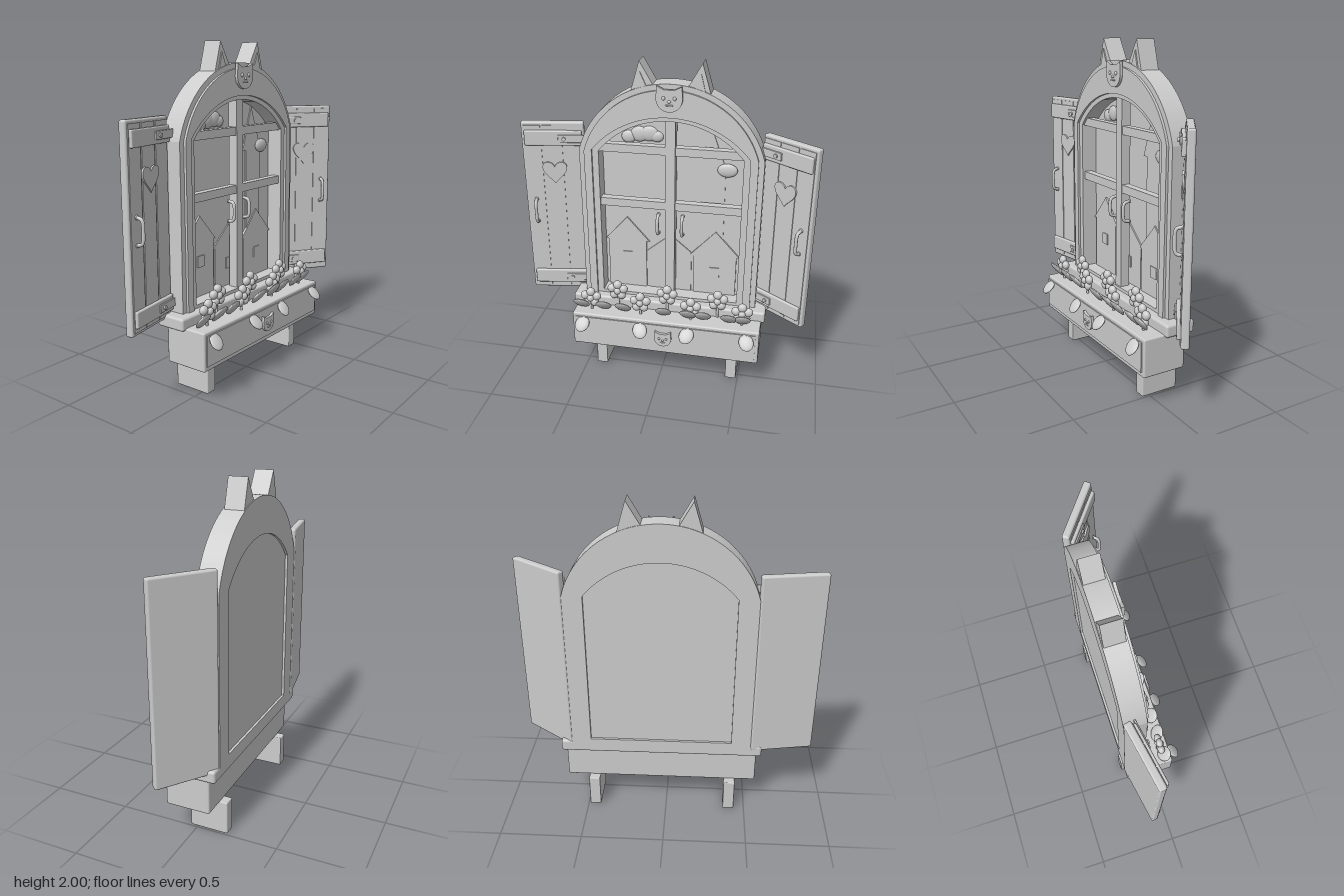
import * as THREE from 'three';
import { RoundedBoxGeometry } from 'three/addons/geometries/RoundedBoxGeometry.js';

const CX = 0.03; // centre line of the window

export function createModel() {
  const root = new THREE.Group();
  root.name = 'shutteredWindow';
  const grey = new THREE.MeshStandardMaterial({ color: 0xcccccc });
  grey.name = 'plainGrey';

  const add = (parent, name, geo, x = 0, y = 0, z = 0) => {
    const m = new THREE.Mesh(geo, grey);
    m.name = name;
    m.position.set(x, y, z);
    parent.add(m);
    return m;
  };
  const group = (parent, name, x = 0, y = 0, z = 0) => {
    const g = new THREE.Group();
    g.name = name;
    g.position.set(x, y, z);
    parent.add(g);
    return g;
  };
  // Box given by its limits, with optional rounded edges
  const box = (parent, name, [x0, x1], [y0, y1], [z0, z1], r = 0) => {
    const s = [Math.abs(x1 - x0), y1 - y0, z1 - z0];
    const geo = r ? new RoundedBoxGeometry(...s, 2, r) : new THREE.BoxGeometry(...s);
    return add(parent, name, geo, (x0 + x1) / 2, (y0 + y1) / 2, (z0 + z1) / 2);
  };
  const plate = (parent, name, shape, z0, z1, x = 0, y = 0) =>
    add(parent, name, new THREE.ExtrudeGeometry(shape, { depth: z1 - z0, bevelEnabled: false, curveSegments: 28 }), x, y, z0);
  const poly = (pts) => new THREE.Shape(pts.map(([x, y]) => new THREE.Vector2(x, y)));
  const blob = (parent, name, rx, ry, rz, x, y, z) => {
    const m = add(parent, name, new THREE.SphereGeometry(1, 20, 14), x, y, z);
    m.scale.set(rx, ry, rz);
    return m;
  };
  // Upright outline closed by a segmental arch
  const arch = (half, bottom, spring, top, Type = THREE.Shape) => {
    const rise = top - spring;
    const R = (half * half + rise * rise) / (2 * rise);
    const cy = top - R;
    const a = Math.atan2(spring - cy, half);
    const s = new Type();
    s.moveTo(-half, bottom);
    s.lineTo(half, bottom);
    s.lineTo(half, spring);
    s.absarc(0, cy, R, a, Math.PI - a, false);
    s.lineTo(-half, bottom);
    return s;
  };
  const handle = (parent, name, x, y, z, h, d) => {
    const curve = new THREE.CatmullRomCurve3(
      [[-h, 0], [-h * 0.85, d * 0.8], [0, d], [h * 0.85, d * 0.8], [h, 0]].map(([b, c]) => new THREE.Vector3(0, b, c)));
    const g = group(parent, name, x, y, z);
    add(g, 'grip', new THREE.TubeGeometry(curve, 24, 0.01, 10));
    for (const s of [-1, 1]) blob(g, 'mount', 0.013, 0.013, 0.008, 0, s * h, 0);
  };

  // Arched frame with a raised moulding
  const frame = arch(0.548, 0.46, 1.46, 1.88);
  frame.holes.push(arch(0.43, 0.51, 1.46, 1.665, THREE.Path));
  plate(root, 'archFrame', frame, -0.19, -0.06, CX);
  const trim = arch(0.515, 0.46, 1.46, 1.848);
  trim.holes.push(arch(0.468, 0.47, 1.47, 1.69, THREE.Path));
  plate(root, 'frameMoulding', trim, -0.061, -0.045, CX);
  plate(root, 'backPanel', arch(0.435, 0.5, 1.462, 1.67), -0.175, -0.16, CX);

  // Ears on top of the frame
  for (const s of [-1, 1]) {
    plate(root, 'ear', poly([[-0.068, 1.82], [0.068, 1.82], [0.0, 2.0]].map(([x, y]) =>
      y > 1.9 ? [s * 0.015, y] : [x, y + (s * x < 0 ? 0.04 : 0)])), -0.185, -0.07, CX + s * 0.163);
    plate(root, 'innerEar', poly([[-0.035, 1.84], [0.035, 1.84], [s * 0.01, 1.94]]), -0.07, -0.063, CX + s * 0.163);
  }

  // Window bars and handles
  box(root, 'mullion', [0, 0.06], [0.49, 1.67], [-0.13, -0.07]);
  for (const y of [1.105, 1.455])
    box(root, 'crossBar', [CX - 0.43, CX + 0.43], [y, y + 0.05], [-0.125, -0.075]);
  for (const s of [-1, 1]) handle(root, 'windowHandle', CX + s * 0.075, 1.0, -0.1, 0.062, 0.045);

  // Town scene in low relief
  const house = (name, x, half, eaves, peak, z) => {
    plate(root, name, poly([[-half + 0.02, 0.5], [half - 0.02, 0.5], [half - 0.02, eaves],
      [half, eaves], [0, peak], [-half, eaves], [-half + 0.02, eaves]]), -0.161, z, x);
    box(root, name + 'Window', [x - 0.03, x + 0.03], [eaves - 0.15, eaves - 0.08], [z, z + 0.006]);
  };
  house('leftHouse', -0.257, 0.143, 0.84, 1.0, -0.148);
  house('middleHouse', 0.02, 0.155, 0.77, 0.9, -0.152);
  house('rightHouse', 0.305, 0.155, 0.78, 0.95, -0.146);
  plate(root, 'tower', poly([[-0.055, 0.8], [0.09, 0.8], [0.09, 1.34], [0.1, 1.34],
    [0, 1.61], [-0.09, 1.34], [-0.055, 1.34]]), -0.161, -0.153, 0.26);
  [[-0.235, 1.53, 0.045], [-0.17, 1.55, 0.055], [-0.11, 1.555, 0.055], [-0.065, 1.54, 0.04]].forEach(([x, y, r]) =>
    blob(root, 'cloudPuff', r, r * 0.85, 0.018, x, y, -0.155));
  blob(root, 'smallCloud', 0.06, 0.042, 0.018, 0.36, 1.36, -0.15);

  // Shutters: local x runs outward from the hinge
  const shutter = (name, s, px, pz, angle) => {
    const g = group(root, name, px, 0, pz);
    g.rotation.y = -s * angle;
    const part = (n, u0, u1, y, z, r) => box(g, n, [s * u0, s * u1], y, z, r);
    part('board', 0, 0.38, [0.46, 1.6], [0, 0.045], 0.012);
    for (const [a, b] of [[0.015, 0.125], [0.135, 0.252], [0.262, 0.365]])
      part('plank', a, b, [0.48, 1.58], [0.044, 0.05]);
    for (const y of [0.553, 1.505]) {
      part('crossBatten', 0.012, 0.36, [y - 0.047, y + 0.047], [0.045, 0.068], 0.008);
      part('hingePlate', -0.01, 0.155, [y - 0.024, y + 0.024], [0.066, 0.077], 0.004);
      const bolt = add(g, 'bolt', new THREE.CylinderGeometry(0.012, 0.012, 0.012, 16), s * 0.118, y, 0.08);
      bolt.rotation.x = Math.PI / 2;
    }
    const heart = new THREE.Shape();
    heart.moveTo(0, -0.095);
    heart.bezierCurveTo(0.02, -0.06, 0.078, -0.03, 0.075, 0.015);
    heart.bezierCurveTo(0.07, 0.055, 0.015, 0.055, 0, 0.015);
    heart.bezierCurveTo(-0.015, 0.055, -0.07, 0.055, -0.075, 0.015);
    heart.bezierCurveTo(-0.078, -0.03, -0.02, -0.06, 0, -0.095);
    plate(g, 'heart', heart, 0.049, 0.06, s * 0.188, 1.305);
    handle(g, 'shutterHandle', s * 0.318, 1.025, 0.05, 0.075, 0.04);
  };
  shutter('rightShutter', -1, -0.52, -0.195, 0.175);
  shutter('leftShutter', 1, 0.585, -0.192, 0.628);

  // Sill, flower box and legs
  box(root, 'sill', [-0.587, 0.647], [0.415, 0.49], [-0.19, -0.003], 0.015);
  box(root, 'flowerBox', [-0.56, 0.625], [0.2, 0.43], [-0.143, 0.128], 0.01);
  box(root, 'boxFrontPanel', [-0.54, 0.603], [0.23, 0.408], [0.127, 0.135]);
  for (const x of [-0.4, 0.455]) box(root, 'leg', [x - 0.035, x + 0.035], [0, 0.205], [-0.19, 0.045], 0.006);

  // Cat face badges
  const catFace = (x, y, z, r) => {
    const g = group(root, 'catFace', x, y, z);
    const s = new THREE.Shape();
    s.moveTo(-0.95 * r, 1.0 * r);
    s.lineTo(-0.4 * r, 0.72 * r);
    s.lineTo(0.4 * r, 0.72 * r);
    s.lineTo(0.95 * r, 1.0 * r);
    s.lineTo(1.0 * r, 0.05 * r);
    s.absarc(0, 0.05 * r, r, 0, -Math.PI, true);
    plate(g, 'head', s, 0, 0.018);
    for (const e of [-1, 1]) blob(g, 'eye', 0.13 * r, 0.15 * r, 0.008, e * 0.42 * r, 0.1 * r, 0.018);
    blob(g, 'nose', 0.14 * r, 0.11 * r, 0.01, 0, -0.15 * r, 0.018);
    for (const e of [-1, 1]) blob(g, 'mouth', 0.16 * r, 0.06 * r, 0.006, e * 0.15 * r, -0.42 * r, 0.018);
  };
  catFace(CX, 1.8, -0.046, 0.076);
  catFace(CX, 0.317, 0.134, 0.053);

  // Flowers in two staggered rows
  for (let i = 0; i < 7; i++) {
    const back = i % 2;
    const f = group(root, 'flower', -0.45 + i * 0.16, back ? 0.555 : 0.52, back ? 0.008 : 0.068);
    for (let k = 0; k < 5; k++) {
      const a = Math.PI / 2 + (k * Math.PI * 2) / 5;
      blob(f, 'petal', 0.028, 0.028, 0.023, Math.cos(a) * 0.04, Math.sin(a) * 0.04, 0);
    }
    blob(f, 'flowerCentre', 0.022, 0.022, 0.018, 0, 0, 0.014);
    add(f, 'stem', new THREE.CylinderGeometry(0.008, 0.008, 0.14, 8), 0, -0.08, -0.01);
  }

  // Leaves: a row over the rim, and four hanging on the front
  [-0.51, -0.365, -0.24, 0.02, 0.175, 0.27, 0.43, 0.515].forEach((x, i) => {
    const l = blob(root, 'leaf', 0.05, 0.06, 0.014, x, 0.48, 0.083);
    l.rotation.set(0.68, 0, (i % 2 ? -1 : 1) * 0.3);
  });
  [-0.49, -0.115, 0.18, 0.55].forEach((x, i) => {
    const l = blob(root, 'hangingLeaf', 0.045, 0.052, 0.014, x, 0.37, 0.158);
    l.rotation.set(-0.72, 0, (i % 2 ? 1 : -1) * 0.4);
  });

  return root;
}
